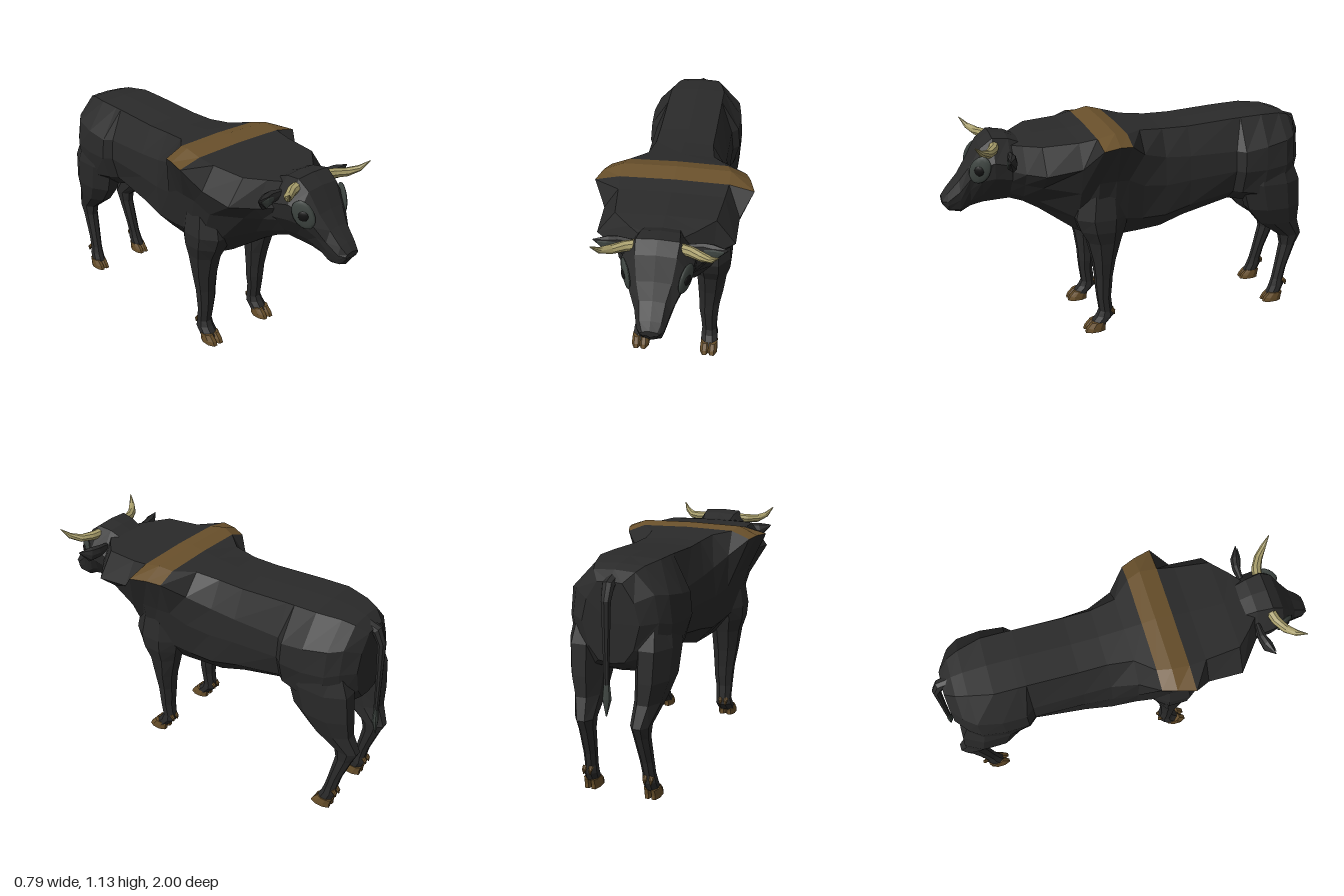
import * as THREE from 'three';

const paint = (name, color) => {
  const m = new THREE.MeshStandardMaterial({ color });
  m.name = name;
  return m;
};
const V = (x, y, z) => new THREE.Vector3(x, y, z);

// Faceted skin over closed rings, with end caps; pick(i, j) gives the material index of a face
function loft(name, rings, materials, pick = () => 0) {
  const buckets = materials.map(() => []);
  const n = rings[0].length, last = rings.length - 1;
  const middle = r => r.reduce((s, p) => s.add(p), V(0, 0, 0)).divideScalar(n);
  const c0 = middle(rings[0]), c1 = middle(rings[last]);
  for (let j = 0; j < n; j++) {
    const k = (j + 1) % n;
    for (let i = 0; i < last; i++) {
      const [a, b, c, d] = [rings[i][j], rings[i][k], rings[i + 1][k], rings[i + 1][j]];
      buckets[pick(i, j)].push([a, b, c], [a, c, d]);
    }
    buckets[0].push([c0, rings[0][k], rings[0][j]], [c1, rings[last][j], rings[last][k]]);
  }
  // Turn every face outward
  let volume = 0;
  buckets.flat().forEach(([a, b, c]) => { volume += a.dot(b.clone().cross(c)); });
  const geo = new THREE.BufferGeometry(), pos = [];
  buckets.forEach((tris, m) => {
    const start = pos.length / 3;
    tris.forEach(([a, b, c]) => (volume < 0 ? [a, c, b] : [a, b, c]).forEach(p => pos.push(p.x, p.y, p.z)));
    geo.addGroup(start, pos.length / 3 - start, m);
  });
  geo.setAttribute('position', new THREE.Float32BufferAttribute(pos, 3));
  geo.computeVertexNormals();
  const mesh = new THREE.Mesh(geo, materials.length > 1 ? materials : materials[0]);
  mesh.name = name;
  return mesh;
}

// Upright symmetric section: flat top, widest point, flank, belly
function section([z, top, bot, flat, w, yw, mid, low]) {
  const h = yw - bot;
  const half = [[flat, top - 0.006], [w, yw], [mid, yw - 0.35 * h], [low, bot + 0.25 * h], [low * 0.58, bot + 0.01]];
  return [V(0, top, z), ...half.map(([x, y]) => V(x, y, z)), V(0, bot, z),
    ...half.reverse().map(([x, y]) => V(-x, y, z))];
}

// Horizontal eight-sided ring for legs and hooves
const legRing = ([y, z, x, hz, hx], side) => Array.from({ length: 8 }, (_, i) => {
  const a = (i + 0.5) * Math.PI / 4;
  return V(side * (x + 1.06 * hx * Math.cos(a)), y, z + 1.06 * hz * Math.sin(a));
});

// Tapered tube along points, flattened by a factor
function tube(name, points, radii, flat, material) {
  const rings = points.map((p, i) => {
    const d = points[Math.min(i + 1, points.length - 1)].clone().sub(points[Math.max(i - 1, 0)]).normalize();
    const u = V(0, 0, 1).cross(d).normalize(), w = d.clone().cross(u);
    return Array.from({ length: 8 }, (_, k) => {
      const a = k * Math.PI / 4;
      return p.clone().addScaledVector(u, radii[i] * Math.cos(a)).addScaledVector(w, radii[i] * flat * Math.sin(a));
    });
  });
  return loft(name, rings, [material]);
}

export function createModel() {
  const hide = paint('black hide', 0x2a2a2a), brown = paint('brown', 0x69502b);
  const bone = paint('horn', 0xa89e6b), grey = paint('grey skin', 0x3e4541), dark = paint('eye black', 0x121212);
  const bull = new THREE.Group();
  bull.name = 'bull';

  // Body with the brown band across the shoulders
  const body = [
    [-0.925, 1.06, 0.68, 0.06, 0.115, 0.97, 0.14, 0.11],
    [-0.87, 1.10, 0.64, 0.10, 0.19, 1.0, 0.21, 0.19],
    [-0.81, 1.117, 0.61, 0.12, 0.235, 0.99, 0.25, 0.23],
    [-0.69, 1.125, 0.61, 0.15, 0.255, 0.97, 0.264, 0.24],
    [-0.57, 1.12, 0.64, 0.15, 0.25, 0.95, 0.26, 0.225],
    [-0.53, 1.118, 0.64, 0.15, 0.215, 0.95, 0.225, 0.19],
    [-0.27, 1.10, 0.58, 0.15, 0.215, 0.95, 0.225, 0.205],
    [-0.13, 1.10, 0.535, 0.15, 0.22, 0.96, 0.235, 0.22],
    [0, 1.11, 0.525, 0.17, 0.26, 1.0, 0.26, 0.23],
    [0.09, 1.12, 0.525, 0.25, 0.345, 1.075, 0.285, 0.25],
    [0.16, 1.135, 0.525, 0.27, 0.37, 1.085, 0.30, 0.26],
    [0.25, 1.115, 0.53, 0.27, 0.395, 1.08, 0.305, 0.25],
    [0.34, 1.10, 0.575, 0.26, 0.335, 0.98, 0.285, 0.21],
    [0.52, 1.09, 0.70, 0.24, 0.333, 0.96, 0.23, 0.14],
    [0.60, 1.08, 0.745, 0.16, 0.235, 0.95, 0.18, 0.12],
    [0.67, 1.07, 0.765, 0.08, 0.15, 0.95, 0.14, 0.09],
  ];
  const inBand = (i, j) => ((i === 9 || i === 10) && (j < 2 || j > 9) ? 1 : 0);
  bull.add(loft('body', body.map(section), [hide, brown], inBand));

  // Head
  bull.add(loft('head', [
    [0.58, 1.07, 0.77, 0.08, 0.16, 0.95, 0.16, 0.10],
    [0.66, 1.105, 0.765, 0.09, 0.17, 0.98, 0.16, 0.10],
    [0.74, 1.115, 0.76, 0.10, 0.168, 1.0, 0.155, 0.09],
    [0.80, 1.07, 0.755, 0.095, 0.15, 0.98, 0.13, 0.08],
    [0.86, 0.97, 0.74, 0.08, 0.115, 0.91, 0.095, 0.07],
    [0.91, 0.90, 0.71, 0.06, 0.083, 0.84, 0.075, 0.06],
    [0.97, 0.835, 0.722, 0.05, 0.065, 0.79, 0.06, 0.05],
    [1.0, 0.80, 0.765, 0.035, 0.045, 0.785, 0.04, 0.03],
  ].map(section), [hide]));

  // Legs from shoulder or hip to pastern: [y, z, x, half depth, half width]
  const legs = {
    front: {
      rows: [[0.86, 0.21, 0.20, 0.11, 0.075], [0.68, 0.22, 0.20, 0.14, 0.10], [0.61, 0.215, 0.20, 0.12, 0.096],
        [0.54, 0.205, 0.197, 0.09, 0.08], [0.42, 0.205, 0.193, 0.06, 0.068], [0.32, 0.205, 0.187, 0.046, 0.056],
        [0.26, 0.205, 0.185, 0.043, 0.052], [0.20, 0.205, 0.187, 0.037, 0.045], [0.12, 0.195, 0.188, 0.036, 0.04],
        [0.09, 0.20, 0.19, 0.045, 0.045], [0.045, 0.24, 0.192, 0.043, 0.046]],
      hoof: { x: 0.193, z: 0.262, y: 0.01, toe: 0.021, claw: 0.17 },
    },
    rear: {
      rows: [[0.92, -0.73, 0.15, 0.12, 0.08], [0.75, -0.75, 0.165, 0.17, 0.092], [0.60, -0.78, 0.162, 0.155, 0.085],
        [0.50, -0.825, 0.152, 0.115, 0.066], [0.40, -0.915, 0.138, 0.065, 0.046], [0.34, -0.908, 0.138, 0.045, 0.038],
        [0.20, -0.87, 0.145, 0.033, 0.032], [0.13, -0.855, 0.149, 0.033, 0.03], [0.09, -0.85, 0.152, 0.04, 0.034],
        [0.045, -0.83, 0.155, 0.04, 0.034]],
      hoof: { x: 0.156, z: -0.815, y: 0, toe: 0.017, claw: -0.88 },
    },
  };

  for (const side of [1, -1]) {
    const label = side > 0 ? 'left' : 'right';
    const S = (x, y, z) => V(side * x, y, z);
    for (const [end, { rows, hoof }] of Object.entries(legs)) {
      bull.add(loft(`${label} ${end} leg`, rows.map(r => legRing(r, side)), [hide]));
      // Cloven hoof and dewclaws
      for (const dir of [-1, 1]) {
        const x = hoof.x + dir * hoof.toe, half = hoof.toe + 0.006;
        bull.add(loft(`${label} ${end} hoof`, [
          [hoof.y, hoof.z, x, 0.055, half],
          [hoof.y + 0.022, hoof.z - 0.005, x, 0.05, half],
          [hoof.y + 0.052, hoof.z - 0.022, x, 0.04, half - 0.002],
        ].map(r => legRing(r, side)), [brown]));
        const cx = hoof.x + dir * 0.016;
        bull.add(tube(`${label} ${end} dewclaw`,
          [S(cx, 0.125, hoof.claw), S(cx, 0.11, hoof.claw - 0.014), S(cx, 0.09, hoof.claw - 0.018)],
          [0.012, 0.011, 0.003], 1, brown));
      }
    }

    // Horn
    bull.add(tube(`${label} horn`,
      [S(0.09, 1.07, 0.73), S(0.15, 1.066, 0.745), S(0.205, 1.065, 0.775), S(0.25, 1.085, 0.815), S(0.282, 1.125, 0.85)],
      [0.026, 0.025, 0.022, 0.015, 0.002], 1, bone));

    // Ear with grey lining
    bull.add(tube(`${label} ear`,
      [S(0.13, 1.02, 0.66), S(0.2, 1.018, 0.66), S(0.25, 1.018, 0.67), S(0.31, 1.045, 0.69)],
      [0.022, 0.036, 0.04, 0.003], 0.6, hide));
    bull.add(tube(`${label} ear lining`,
      [S(0.2, 1.018, 0.68), S(0.25, 1.018, 0.692), S(0.295, 1.038, 0.697)],
      [0.012, 0.027, 0.003], 0.2, grey));

    // Eye patch and eye, slanted along the face
    const eye = new THREE.Group();
    eye.name = `${label} eye`;
    eye.position.set(side * 0.137, 0.965, 0.812);
    eye.rotation.set(0, side * 1.08, side * -0.5);
    const ball = (name, r, x, y, z, sx, sy, sz, mat) => {
      const m = new THREE.Mesh(new THREE.SphereGeometry(r, 10, 8), mat);
      m.name = name;
      m.position.set(x, y, z);
      m.scale.set(sx, sy, sz);
      eye.add(m);
    };
    ball('eye patch', 0.075, 0, 0, 0, 0.7, 1, 0.18, grey);
    ball('eyeball', 0.026, 0, -0.003, 0.01, 1, 1, 0.35, dark);
    bull.add(eye);
  }

  // Tail and tuft
  bull.add(tube('tail',
    [V(0, 1.06, -0.88), V(0, 1.045, -0.935), V(0, 0.98, -0.965), V(0, 0.75, -0.975), V(0, 0.6, -0.98)],
    [0.03, 0.03, 0.024, 0.017, 0.015], 0.9, hide));
  bull.add(tube('tail tuft',
    [V(0, 0.62, -0.978), V(0, 0.53, -0.982), V(0, 0.45, -0.992)],
    [0.014, 0.023, 0.003], 0.65, grey));

  return bull;
}
